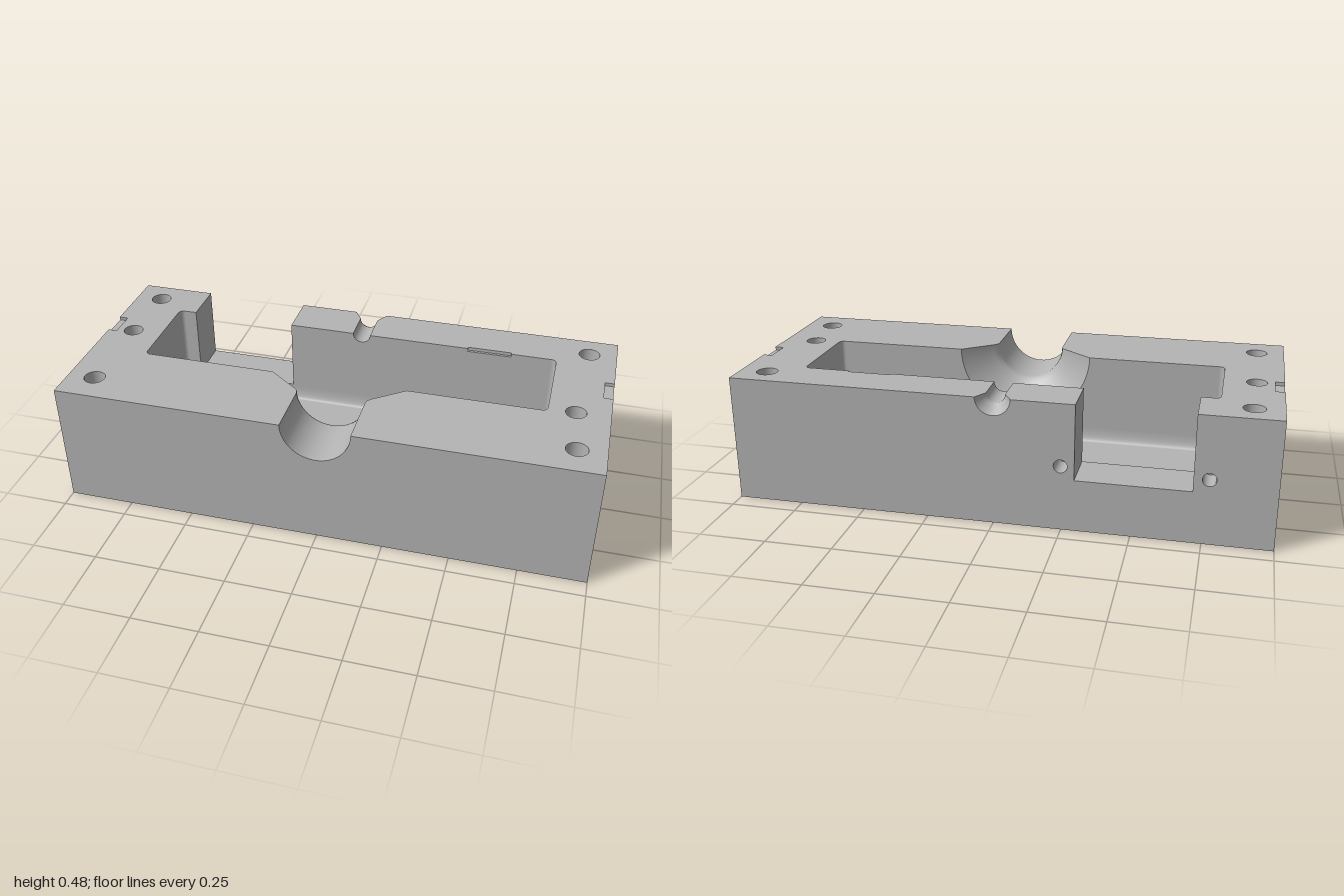
import * as THREE from 'three';

const H = 0.483, D = 0.43;                       // block height and half depth
const XL = -0.78, XR = 0.775, ZB = -0.255, ZF = 0.1; // pocket extents
const BOWL = 0.19, FLOOR = 0.135;                // start of floor fillet, pocket floor
const NOTCH = [-0.71, -0.295], NOTCH_Y = 0.197;
const STEP_Y = 0.47;                             // floor of the shallow recesses

export function createModel() {
  const group = new THREE.Group();
  const steel = new THREE.MeshStandardMaterial({ color: 0xb4b4b4, side: THREE.DoubleSide });
  steel.name = 'plain grey metal';

  const add = (name, geo) => {
    const mesh = new THREE.Mesh(geo, steel);
    mesh.name = name;
    group.add(mesh);
    return mesh;
  };
  const v2 = (pts) => pts.map(([x, y]) => new THREE.Vector2(x, y));
  const circle = (x, y, r) => Array.from({ length: 32 }, (_, i) => {
    const a = (i / 32) * Math.PI * 2;
    return [x + r * Math.cos(a), y + r * Math.sin(a)];
  });
  // half-round cut hanging from the top edge, from -r to +r
  const dip = (r) => Array.from({ length: 33 }, (_, i) => {
    const a = Math.PI + (i / 32) * Math.PI;
    return [r * Math.cos(a), H + r * Math.sin(a)];
  });
  const flat = (pts, holes = []) => {
    const shape = new THREE.Shape(v2(pts));
    holes.forEach((h) => shape.holes.push(new THREE.Path(v2(h))));
    return new THREE.ShapeGeometry(shape);
  };
  // horizontal face from (x, z) points
  const level = (name, y, pts, holes = [], up = true) => {
    const s = up ? -1 : 1;
    const map = (p) => p.map(([x, z]) => [x, s * z]);
    add(name, flat(map(pts), holes.map(map)).rotateX(s * Math.PI / 2).translate(0, y, 0));
  };
  // upright face from (x, y) points, facing +z or -z
  const upright = (name, z, facing, pts, holes = []) => {
    const map = (p) => p.map(([x, y]) => [facing * x, y]);
    const g = flat(map(pts), holes.map(map));
    if (facing < 0) g.rotateY(Math.PI);
    add(name, g.translate(0, 0, z));
  };
  // vertical wall following (x, z) points
  const curtain = (name, pts, y0, y1) => {
    const p = [];
    for (let i = 0; i < pts.length - 1; i++) {
      const [a, b] = pts[i], [c, d] = pts[i + 1];
      p.push(a, y0, b, c, y0, d, c, y1, d, a, y0, b, c, y1, d, a, y1, b);
    }
    const g = new THREE.BufferGeometry();
    g.setAttribute('position', new THREE.Float32BufferAttribute(p, 3));
    g.computeVertexNormals();
    add(name, g);
  };

  // rounded end of the pocket, back to front
  const endPath = (x, s, r = 0.02, zb = ZB, zf = ZF) => {
    const out = [];
    for (const [cz, a0] of [[zb + r, -Math.PI / 2], [zf - r, 0]]) {
      for (let i = 0; i <= 6; i++) {
        const a = a0 + (i / 6) * Math.PI / 2;
        out.push([x - s * r + s * r * Math.cos(a), cz + r * Math.sin(a)]);
      }
    }
    return out;
  };
  const neck = [[0.13, D], [0.13, 0.215], [0.134, 0.2], [0.148, 0.186], [0.26, ZF]];
  const neckUp = (s) => neck.slice(1).reverse().map(([r, z]) => [s * r, z]);
  const sideStep = (s) => [[s, -0.035], [s * 0.965, -0.035], [s * 0.965, -0.14], [s, -0.14]];
  const slot = [[0.43, ZB], [0.43, ZB - 0.01], [0.6, ZB - 0.01], [0.6, ZB]];

  // screw and dowel hole positions
  const screws = [[-0.895, -0.33], [0.895, -0.33], [-0.895, 0.308], [0.895, 0.308]];
  const dowels = [[-0.9, -0.055], [0.875, 0.085]];
  const sHoles = (s) => screws.filter(([x]) => x * s > 0).map(([x, z]) => circle(x, z, 0.04));
  const topHoles = (s) => [...sHoles(s),
    ...dowels.filter(([x]) => x * s > 0).map(([x, z]) => circle(x, z, 0.038))];

  // top face, in the three pieces left by the channels and the notch
  level('topRimLeft', H, [[0.13, D], [1, D], ...sideStep(1), [1, -D], [0.065, -D],
    [0.035, -0.38], [0.035, ZB], ...slot, ...endPath(XR, 1), ...neckUp(1)], topHoles(1));
  level('topRimRight', H, [[-0.13, D], [-1, D], ...sideStep(-1), [-1, -D], [NOTCH[0], -D],
    [NOTCH[0], ZB], ...endPath(XL, -1), ...neckUp(-1)], topHoles(-1));
  level('topRimBack', H, [[NOTCH[1], -D], [-0.065, -D], [-0.035, -0.38], [-0.035, ZB],
    [NOTCH[1], ZB]]);
  level('underside', 0, [[-1, -D], [1, -D], [1, D], [-1, D]], [...sHoles(1), ...sHoles(-1)], false);

  // outer walls
  const notchCut = [[NOTCH[0], H], [NOTCH[0], NOTCH_Y], [NOTCH[1], NOTCH_Y], [NOTCH[1], H]];
  const pins = [[-0.765, 0.247], [-0.245, 0.247]];
  upright('frontWall', D, 1, [[-1, 0], [-1, H], ...dip(0.13), [1, H], [1, 0]]);
  upright('backWall', -D, -1, [[-1, 0], [-1, H], ...notchCut, ...dip(0.065), [1, H], [1, 0]],
    pins.map(([x, y]) => circle(x, y, 0.025)));
  for (const s of [1, -1]) {
    const pts = [[-D, 0], [-D, H], [-0.14, H], [-0.14, STEP_Y], [-0.035, STEP_Y], [-0.035, H], [D, H], [D, 0]];
    add('sideWall', flat(pts.map(([z, y]) => [-s * z, y])).rotateY(s * Math.PI / 2).translate(s, 0, 0));
    curtain('sideRecessWall', sideStep(s), STEP_Y, H);
    level('sideRecessFloor', STEP_Y, sideStep(s));
  }

  // pocket walls above the floor fillet
  upright('pocketFrontWall', ZF, -1, [[XL + 0.02, BOWL], [XL + 0.02, H], ...dip(0.26),
    [XR - 0.02, H], [XR - 0.02, BOWL]]);
  upright('pocketBackWall', ZB, 1, [[XL + 0.02, BOWL], [XL + 0.02, H], ...notchCut, ...dip(0.035),
    [0.43, H], [0.43, STEP_Y], [0.6, STEP_Y], [0.6, H], [XR - 0.02, H], [XR - 0.02, BOWL]]);
  curtain('pocketEnd', endPath(XL, -1), BOWL, H);
  curtain('pocketEnd', endPath(XR, 1), BOWL, H);
  curtain('slotWall', slot, STEP_Y, H);
  level('slotFloor', STEP_Y, slot);

  // floor fillet, wide at the ends and tight along the sides
  const ring = (t) => {
    const k = 1 - Math.cos(t), dx = 0.085 * k, dz = 0.018 * k, r = 0.02 - 0.015 * k;
    return [...endPath(XR - dx, 1, r, ZB + dz, ZF - dz),
      ...endPath(XL + dx, -1, r, ZB + dz, ZF - dz).reverse()];
  };
  const pos = [], idx = [], steps = 10, n = ring(0).length;
  for (let j = 0; j <= steps; j++) {
    const t = (j / steps) * Math.PI / 2;
    ring(t).forEach(([x, z]) => pos.push(x, BOWL - (BOWL - FLOOR) * Math.sin(t), z));
    for (let i = 0; j < steps && i < n; i++) {
      const a = j * n + i, b = j * n + (i + 1) % n;
      idx.push(a, b, a + n, b, b + n, a + n);
    }
  }
  const bowl = new THREE.BufferGeometry();
  bowl.setAttribute('position', new THREE.Float32BufferAttribute(pos, 3));
  bowl.setIndex(idx);
  bowl.computeVertexNormals();
  add('pocketFloorFillet', bowl);
  level('pocketFloor', FLOOR, ring(Math.PI / 2));

  // notch through the back wall
  level('notchFloor', NOTCH_Y, [[NOTCH[0], -D], [NOTCH[1], -D], [NOTCH[1], ZB], [NOTCH[0], ZB]]);
  NOTCH.forEach((x) => curtain('notchSide', [[x, -D], [x, ZB]], NOTCH_Y, H));

  // half-round channels, profile given as (radius, z)
  const channel = (name, pts) => add(name,
    new THREE.LatheGeometry(v2(pts), 32, -Math.PI / 2, Math.PI).rotateX(Math.PI / 2).translate(0, H, 0));
  channel('frontNeck', neck);
  channel('backVent', [[0.035, ZB], [0.035, -0.38]]);
  channel('backVentFlare', [[0.035, -0.38], [0.065, -D]]);

  // bores
  const bore = (name, r, len) => add(name, new THREE.CylinderGeometry(r, r, len, 32, 1, true));
  screws.forEach(([x, z]) => bore('screwHole', 0.04, H).position.set(x, H / 2, z));
  dowels.forEach(([x, z]) => {
    bore('dowelHole', 0.038, 0.15).position.set(x, H - 0.075, z);
    level('dowelHoleFloor', H - 0.15, circle(x, z, 0.038));
  });
  pins.forEach(([x, y]) => {
    const b = bore('pinHole', 0.025, 0.1);
    b.rotation.x = Math.PI / 2;
    b.position.set(x, y, -D + 0.05);
    upright('pinHoleEnd', -D + 0.1, -1, circle(x, y, 0.025));
  });
  return group;
}
